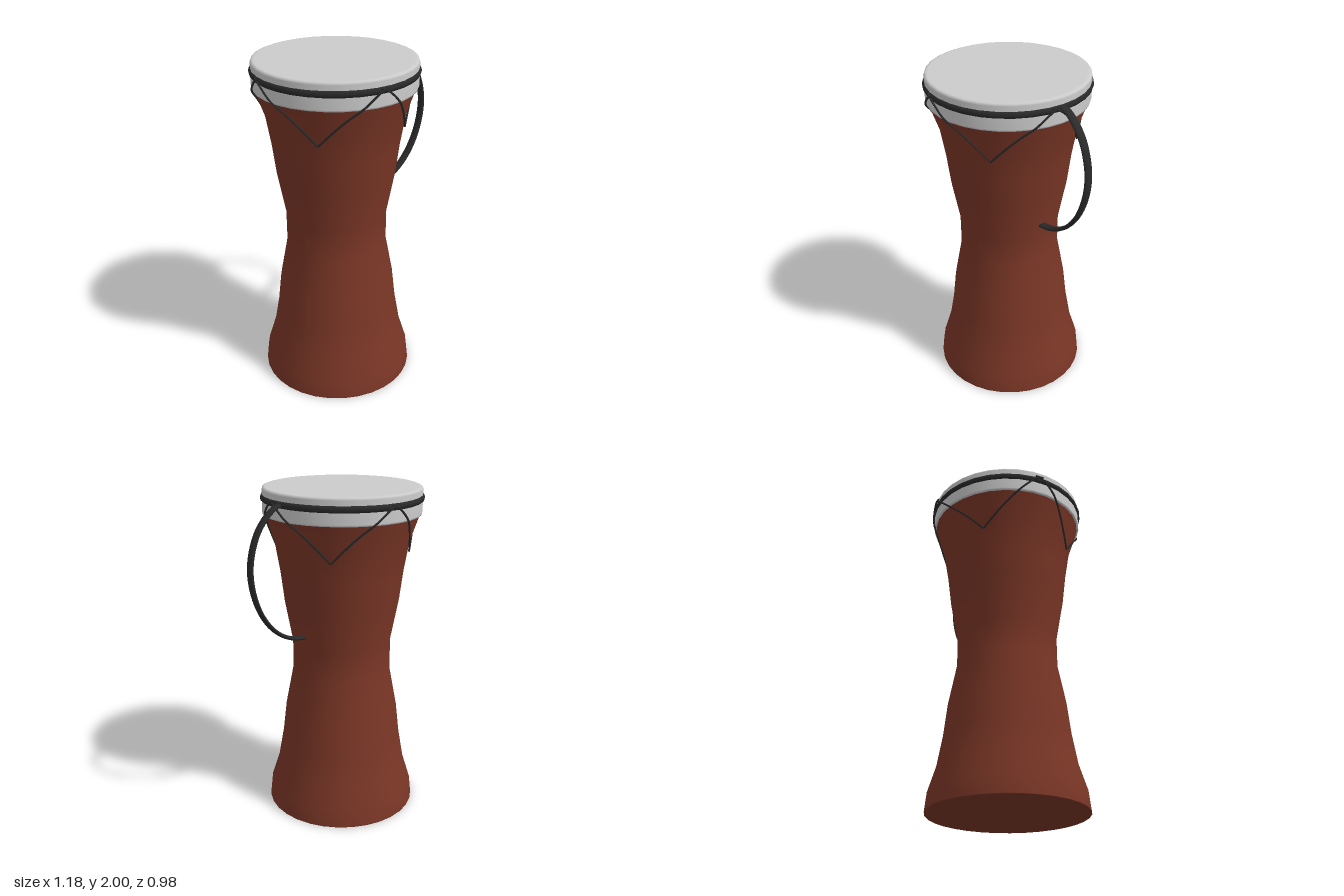
import * as THREE from 'three';

const SIDES = 32;
const brown = new THREE.MeshStandardMaterial({ color: 0x7a3626 });
const black = new THREE.MeshStandardMaterial({ color: 0x2a2a2a });
const grey = new THREE.MeshStandardMaterial({ color: 0xcccccc });

function add(parent, name, geometry, material) {
  const mesh = new THREE.Mesh(geometry, material);
  mesh.name = name;
  parent.add(mesh);
  return mesh;
}

function lathe(points) {
  return new THREE.LatheGeometry(points.map(([r, y]) => new THREE.Vector2(r, y)), SIDES);
}

export function createModel() {
  const model = new THREE.Group();
  model.name = 'handDrum';

  // Everything round shares one axis, offset to make room for the handle
  const drum = new THREE.Group();
  drum.name = 'drum';
  drum.position.x = -0.105;
  model.add(drum);

  // Hourglass wooden shell with closed base
  add(drum, 'shell', lathe([
    [0, 0], [0.461, 0], [0.461, 0.004], [0.449, 0.11], [0.402, 0.26], [0.37, 0.44],
    [0.348, 0.63], [0.3, 0.88], [0.3, 1.07], [0.346, 1.32], [0.368, 1.5],
    [0.4, 1.69], [0.455, 1.85], [0.455, 1.88],
  ]), brown);

  // Skin stretched over the top, with a small rounded edge
  add(drum, 'drumSkin', lathe([
    [0.44, 1.845], [0.463, 1.845], [0.466, 1.855], [0.466, 1.985],
    [0.462, 1.996], [0.452, 2], [0.44, 2], [0, 2],
  ]), grey);

  // Tension ring
  const ring = add(drum, 'tensionRing', new THREE.TorusGeometry(0.453, 0.024, 10, SIDES), black);
  ring.rotation.x = Math.PI / 2;
  ring.position.y = 1.938;

  // Four V-shaped cords that hug the shell and loop over the ring
  const path = [ // angle from the low point, radius, height
    [0, 0.397, 1.628], [11, 0.411, 1.71], [22, 0.438, 1.79],
    [32, 0.473, 1.86], [40, 0.482, 1.92], [45, 0.483, 1.948], [48, 0.478, 1.955],
  ];
  const lowAngle = 38;
  for (let i = 0; i < 4; i++) {
    for (const side of [-1, 1]) {
      const points = path.map(([a, r, y]) => {
        const t = THREE.MathUtils.degToRad(lowAngle + i * 90 + side * a);
        return new THREE.Vector3(r * Math.sin(t), y, r * Math.cos(t));
      });
      const curve = new THREE.CatmullRomCurve3(points);
      add(drum, 'cord', new THREE.TubeGeometry(curve, 24, 0.006, 6), black);
    }
  }

  // Curved strap handle, flattened to a wide oval section
  const bow = [
    [0.34, 1.938], [0.38, 1.932], [0.44, 1.895], [0.51, 1.815], [0.555, 1.71], [0.572, 1.6],
    [0.555, 1.47], [0.5, 1.335], [0.41, 1.225], [0.3, 1.16], [0.18, 1.138],
  ].map(([x, y]) => new THREE.Vector3(x, y, 0));
  const strap = add(model, 'handle',
    new THREE.TubeGeometry(new THREE.CatmullRomCurve3(bow), 40, 0.012, 12), black);
  strap.scale.z = 2.1;

  return model;
}
